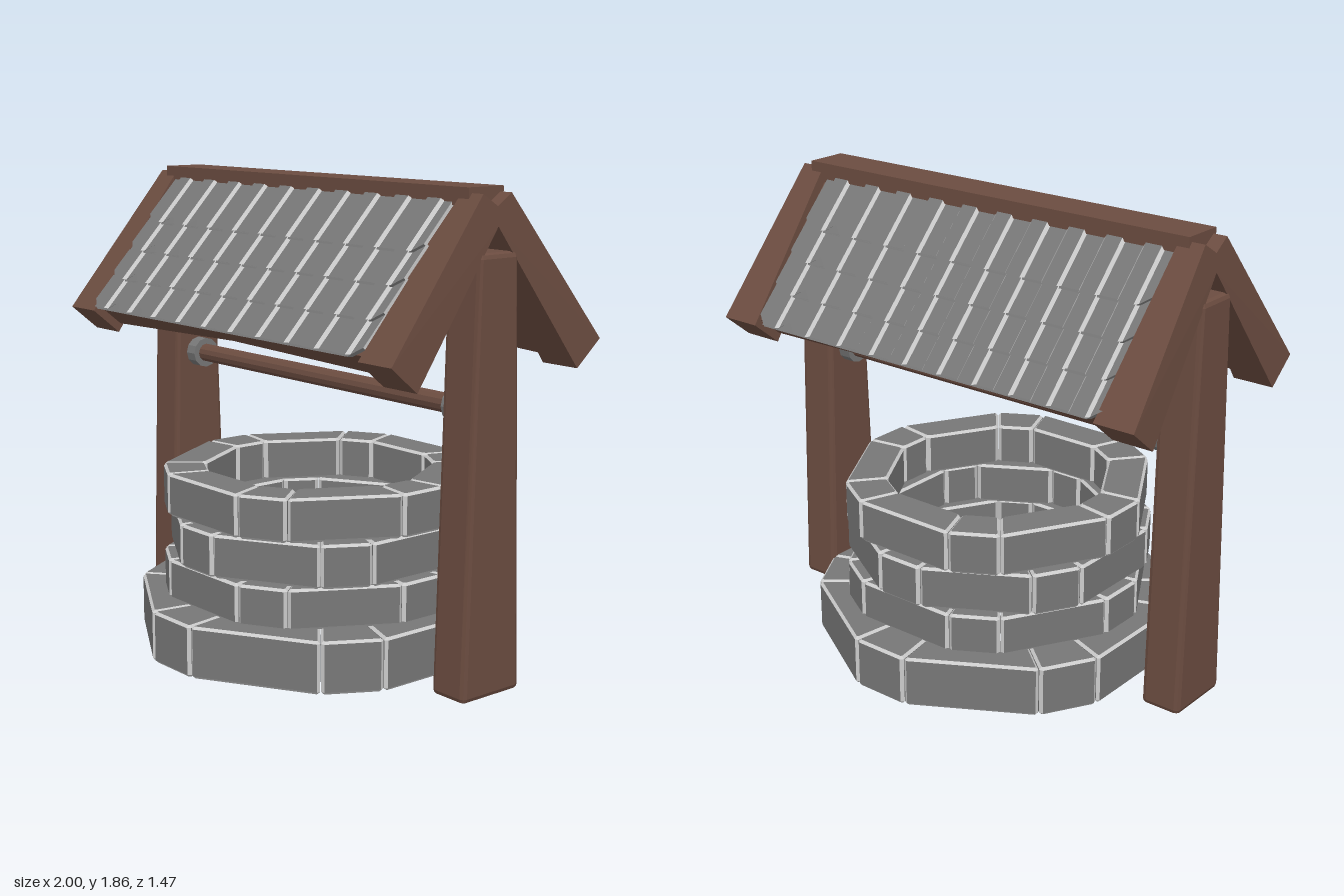
import * as THREE from 'three';
import { mergeGeometries } from 'three/addons/utils/BufferGeometryUtils.js';
import { RoundedBoxGeometry } from 'three/addons/geometries/RoundedBoxGeometry.js';

const wood = new THREE.MeshStandardMaterial({ color: 0x6b4c40, flatShading: true });
const stone = new THREE.MeshStandardMaterial({ color: 0x777777, flatShading: true });
const edge = new THREE.MeshStandardMaterial({ color: 0xcccccc, flatShading: true });

const SLOPE = THREE.MathUtils.degToRad(50.5);
const RIDGE_Y = 1.91; // where the two outer roof planes would meet

function add(parent, name, geometry, material) {
  const mesh = new THREE.Mesh(geometry, material);
  mesh.name = name;
  parent.add(mesh);
  return mesh;
}

// Moves every vertex by a rule and refreshes the normals
function deform(geometry, rule) {
  const p = geometry.attributes.position;
  const v = new THREE.Vector3();
  for (let i = 0; i < p.count; i++) {
    rule(v.fromBufferAttribute(p, i));
    p.setXYZ(i, v.x, v.y, v.z);
  }
  geometry.computeVertexNormals();
  return geometry;
}

// Splits an extrusion into broad faces and narrow worn edges
function splitEdges(geometry) {
  const p = geometry.attributes.position;
  const lidEnd = geometry.groups[0].count;
  const lists = [[], []];
  const c = [0, 1, 2].map(() => new THREE.Vector3());
  for (let i = 0; i < p.count; i += 3) {
    c.forEach((v, k) => v.fromBufferAttribute(p, i + k));
    const shortest = Math.min(c[0].distanceTo(c[1]), c[1].distanceTo(c[2]), c[2].distanceTo(c[0]));
    const list = lists[i >= lidEnd && shortest < 0.03 ? 1 : 0];
    c.forEach((v) => list.push(v.x, v.y, v.z));
  }
  return lists.map((list) => {
    const g = new THREE.BufferGeometry();
    g.setAttribute('position', new THREE.Float32BufferAttribute(list, 3));
    g.computeVertexNormals();
    return g;
  });
}

// Polygon with its corners cut off
function chamfered(points, cut) {
  const out = [];
  points.forEach((p, i) => {
    for (const q of [points.at(i - 1), points[(i + 1) % points.length]]) {
      out.push(q.clone().sub(p).setLength(cut).add(p));
    }
  });
  return new THREE.Shape(out);
}

// One brick between two angles of a course
function brick(a0, a1, outer, inner, height) {
  const bevel = 0.01;
  const at = (r, a) => new THREE.Vector2(r * Math.sin(a), r * Math.cos(a));
  const gap = 0.002;
  const corners = [at(outer, a0 + gap), at(inner, a0 + gap), at(inner, a1 - gap), at(outer, a1 - gap)];
  const geometry = new THREE.ExtrudeGeometry(chamfered(corners, 0.013), {
    depth: height - 2 * bevel, bevelThickness: bevel, bevelSize: bevel, bevelOffset: -bevel, bevelSegments: 1,
  });
  return geometry.translate(0, 0, bevel).rotateX(-Math.PI / 2);
}

// Ring of alternating short and long bricks
function course(parent, name, y, height, outer, inner, turn) {
  const short = THREE.MathUtils.degToRad(9.3);
  const parts = [];
  for (let i = 0; i < 6; i++) {
    const a = (i * Math.PI) / 3 + turn;
    parts.push(splitEdges(brick(a - short, a + short, outer, inner, height)));
    parts.push(splitEdges(brick(a + short, a + Math.PI / 3 - short, outer, inner, height)));
  }
  const group = new THREE.Group();
  group.name = name;
  group.position.y = y;
  add(group, 'bricks', mergeGeometries(parts.map((p) => p[0])), stone);
  add(group, 'brickEdges', mergeGeometries(parts.map((p) => p[1])), edge);
  parent.add(group);
}

// Row of ten ribbed tiles whose lower ends taper to teeth
function tileRow(length) {
  const pitch = 0.168;
  const rib = [[-0.084, 0], [-0.045, 0], [-0.034, 0.012], [0.034, 0.012], [0.045, 0], [0.084, 0]];
  const top = [];
  for (let i = 0; i < 10; i++) {
    for (const [u, h] of i ? rib.slice(1) : rib) top.push(new THREE.Vector2((i - 4.5) * pitch + u, h));
  }
  const bottom = top.map((p) => new THREE.Vector2(p.x, p.y - 0.014)).reverse();
  const geometry = new THREE.ExtrudeGeometry(new THREE.Shape([...top, ...bottom]), {
    depth: length, bevelEnabled: false,
  });
  deform(geometry, (v) => {
    const n = v.x / pitch + 0.5;
    const u = Math.abs(n - Math.round(n)) * pitch;
    if (v.z > length / 2) v.z -= 0.045 * THREE.MathUtils.clamp((u - 0.034) / 0.05, 0, 1);
  });
  return splitEdges(geometry.translate(0, 0, -length).rotateX(-0.07));
}

// Sloped side of the roof: local z runs down the slope, local y points outward
function roofSide(name, side) {
  const group = new THREE.Group();
  group.name = name;
  group.position.y = RIDGE_Y;
  group.rotation.set(SLOPE, side > 0 ? 0 : Math.PI, 0, 'YXZ');

  // Board, thinner in the middle so its lower edge arches
  const board = new THREE.BoxGeometry(1.68, 0.125, 0.625, 8, 1, 1);
  deform(board, (v) => {
    if (v.y < 0) v.y += 0.045 * (1 - Math.abs(v.x) / 0.84);
  });
  add(group, 'roofBoard', board, wood).position.set(0, -0.078, 0.472);

  for (let i = 0; i < 4; i++) {
    const [faces, edges] = tileRow(i === 3 ? 0.24 : 0.2);
    const row = new THREE.Group();
    row.name = 'tileRow';
    row.position.set(-0.01 * side, side > 0 ? 0.014 : 0.004, 0.81 - 0.145 * i);
    add(row, 'tiles', faces, stone);
    add(row, 'tileRibs', edges, edge);
    group.add(row);
  }
  return group;
}

// Pair of rafters joined at the top, widening towards the eaves
function rafterGeometry() {
  const half = [[0, 1.72], [0.4, 1.18], [0.52, 1.28], [0.07, 1.835], [0, 1.79]];
  const mirrored = half.slice(1, 4).reverse().map(([z, y]) => [-z, y]);
  const shape = new THREE.Shape([...half, ...mirrored].map(([z, y]) => new THREE.Vector2(z, y)));
  const geometry = new THREE.ExtrudeGeometry(shape, { depth: 2, bevelEnabled: false });
  geometry.translate(0, 0, -1).rotateY(Math.PI / 2);
  return deform(geometry, (v) => {
    v.x *= THREE.MathUtils.mapLinear(v.y, 1.28, 1.835, 0.085, 0.053);
    v.x = THREE.MathUtils.clamp(v.x, -0.085, 0.085);
  });
}

export function createModel() {
  const model = new THREE.Group();
  model.name = 'well';

  // Stone wall
  const turn = Math.PI / 6;
  course(model, 'baseCourse', 0, 0.205, 0.745, 0.53, 0);
  course(model, 'lowerCourse', 0.203, 0.16, 0.625, 0.455, turn);
  course(model, 'middleCourse', 0.365, 0.17, 0.62, 0.455, 0);
  course(model, 'upperCourse', 0.54, 0.17, 0.625, 0.455, turn);

  for (const [label, s] of [['left', 1], ['right', -1]]) {
    // Tapered post
    const post = new RoundedBoxGeometry(0.168, 1.63, 0.29, 1, 0.02);
    deform(post, (v) => { v.z *= THREE.MathUtils.mapLinear(v.y, -0.815, 0.815, 1, 0.64); });
    add(model, label + 'Post', post, wood).position.set(s * 0.902, 0.815, 0);

    add(model, label + 'Rafters', rafterGeometry(), wood).position.x = s * 0.915;

    // Collar holding the crossbar
    const collar = add(model, label + 'Collar', new THREE.CylinderGeometry(0.063, 0.063, 0.06, 12), stone);
    collar.rotation.z = Math.PI / 2;
    collar.position.set(s * 0.793, 1.06, 0);
  }

  // Crossbar
  const bar = add(model, 'crossbar', new THREE.CylinderGeometry(0.038, 0.038, 1.6, 12), wood);
  bar.rotation.z = Math.PI / 2;
  bar.position.y = 1.06;

  // Roof
  model.add(roofSide('frontRoof', 1), roofSide('backRoof', -1));
  add(model, 'ridgeBeam', new THREE.BoxGeometry(1.825, 0.065, 0.172), wood).position.y = 1.823;

  return model;
}
